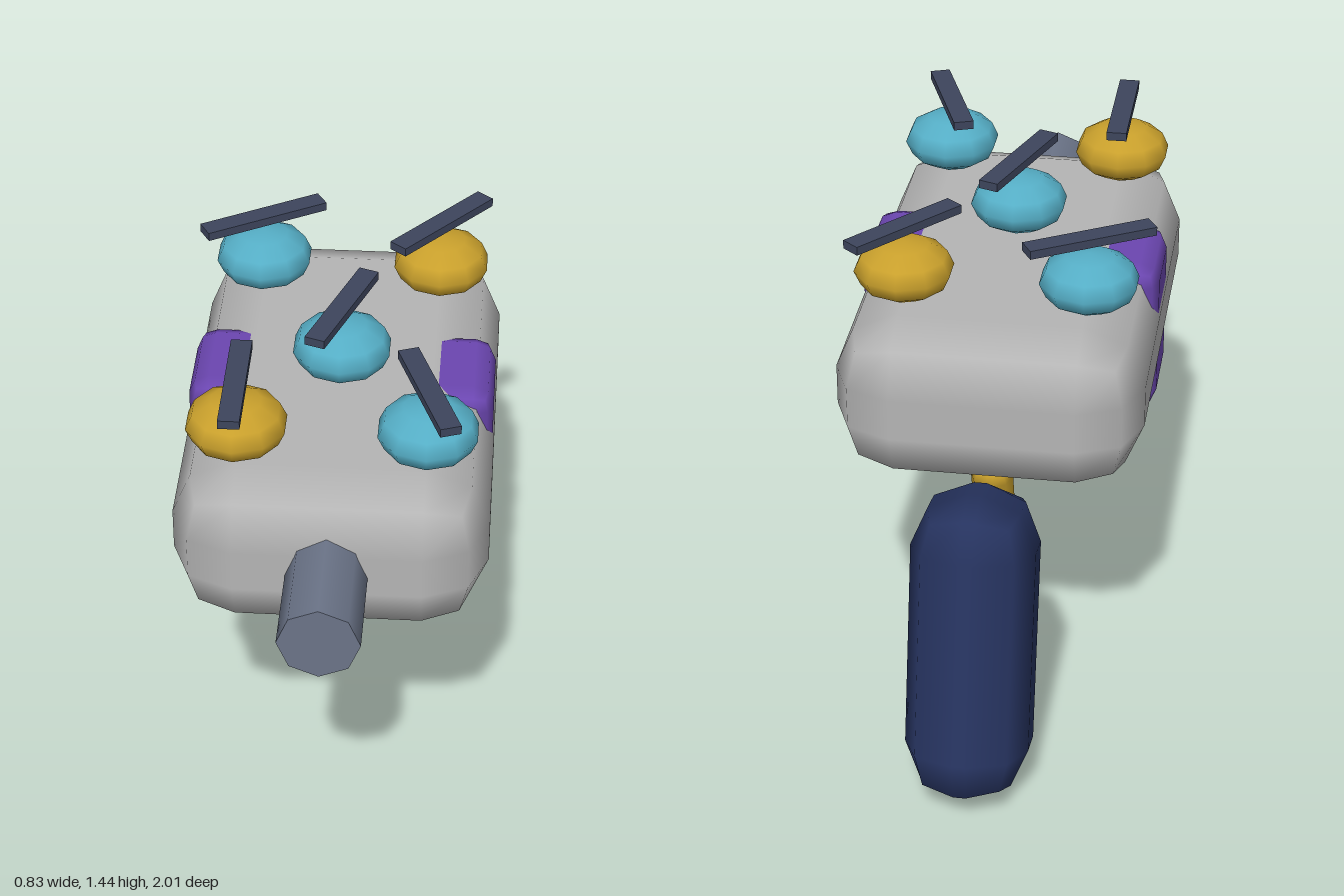
import * as THREE from 'three';
import { RoundedBoxGeometry } from 'three/addons/geometries/RoundedBoxGeometry.js';

export function createModel() {
  const group = new THREE.Group();
  const paint = (color) => new THREE.MeshStandardMaterial({ color });
  const grey = paint(0xb4b4b4), purple = paint(0x6b46b0), slate = paint(0x6b7488);
  const navy = paint(0x26335f), gold = paint(0xc9a02c), teal = paint(0x55aec6), dark = paint(0x3d455c);

  const add = (name, geometry, material, x, y, z) => {
    const mesh = new THREE.Mesh(geometry, material);
    mesh.name = name;
    mesh.position.set(x, y, z);
    group.add(mesh);
    return mesh;
  };
  // Box with a single coarse bevel
  const block = (w, h, d, r) => new RoundedBoxGeometry(w, h, d, 1, r);

  // Main housing and the band around it
  add('body', block(0.83, 0.456, 1.318, 0.17), grey, 0.003, 0.998, 0.075);
  add('band', block(0.822, 0.45, 0.316, 0.055), purple, 0.003, 0.994, 0.075);

  // Eight-sided barrel
  const barrel = add('barrel', new THREE.CylinderGeometry(0.107, 0.107, 0.4, 8), slate, 0.003, 0.995, 0.8);
  barrel.rotation.x = Math.PI / 2;

  // Slanted grip and trigger
  const grip = add('grip', block(0.334, 0.86, 0.4, 0.15), navy, 0.003, 0.428, -0.745);
  grip.rotation.x = 0.25;
  const trigger = add('trigger', block(0.116, 0.29, 0.1, 0.05), gold, 0.003, 0.642, -0.359);
  trigger.rotation.x = -0.3;

  // Flattened domes on top, each with a turned bar floating above
  const dome = new THREE.SphereGeometry(0.135, 10, 6).rotateY(Math.PI / 2).scale(1, 0.6, 1);
  const bar = new THREE.BoxGeometry(0.36, 0.024, 0.056);
  [
    [-0.245, -0.3, teal],
    [0.25, -0.3, gold],
    [0.003, 0.135, teal],
    [-0.245, 0.5, gold],
    [0.25, 0.5, teal],
  ].forEach(([x, z, material], i) => {
    add('dome' + (i + 1), dome, material, x, 1.304, z);
    add('bar' + (i + 1), bar, dark, x, 1.426, z).rotation.y = 0.53 + 0.348 * i;
  });

  return group;
}
